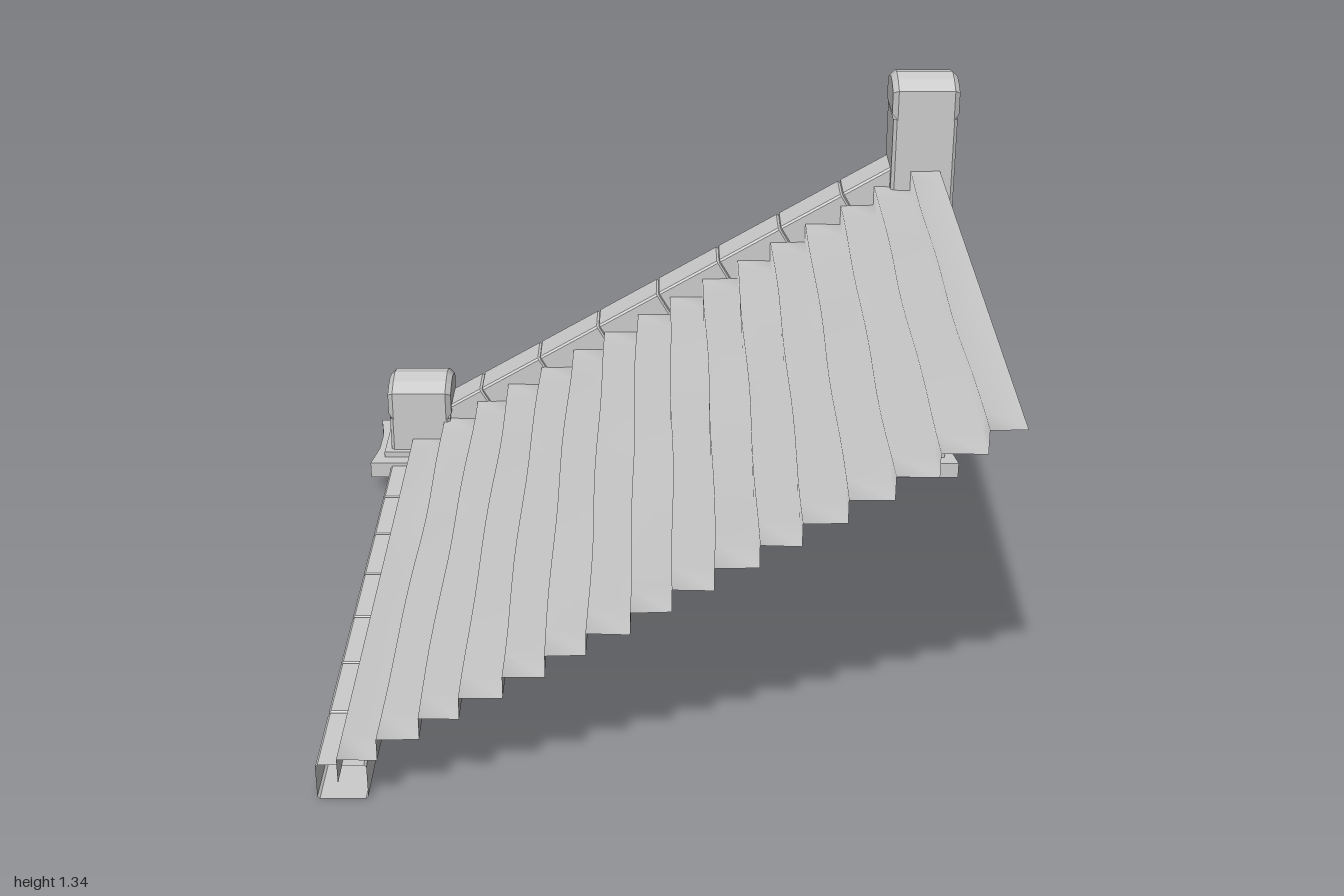
import * as THREE from 'three';

const material = new THREE.MeshStandardMaterial({ color: 0xcccccc, side: THREE.DoubleSide });

function add(parent, name, geometry, x = 0, y = 0, z = 0) {
  const mesh = new THREE.Mesh(geometry, material);
  mesh.name = name;
  mesh.position.set(x, y, z);
  parent.add(mesh);
  return mesh;
}

// Surface through rows of [x, y, z] points
function skin(rows, smooth) {
  const n = rows[0].length, index = [];
  for (let i = 0; i < rows.length - 1; i++) {
    for (let j = 0; j < n - 1; j++) {
      const a = i * n + j, d = a + n;
      index.push(a, a + 1, d + 1, a, d + 1, d);
    }
  }
  let g = new THREE.BufferGeometry();
  g.setAttribute('position', new THREE.Float32BufferAttribute(rows.flat(2), 3));
  g.setIndex(index);
  if (!smooth) g = g.toNonIndexed();
  g.computeVertexNormals();
  return g;
}

// Open-ended row of chamfered stones along x, with a groove at each inner cut
function stoneRow(cuts, height, depth, bevel = 0.006) {
  const ring = (x, inset) => {
    const h = height / 2 - inset, d = depth / 2 - inset, b = bevel;
    const pts = [[h, -d + b], [h, d - b], [h - b, d], [-h + b, d],
      [-h, d - b], [-h, -d + b], [-h + b, -d], [h - b, -d], [h, -d + b]];
    return pts.map(([y, z]) => [x, y, z]);
  };
  const rows = [];
  cuts.forEach((x, i) => {
    if (i === 0 || i === cuts.length - 1) rows.push(ring(x, 0));
    else rows.push(ring(x - 0.005, 0), ring(x, 0.005), ring(x + 0.005, 0));
  });
  return skin(rows, false);
}

const evenCuts = (from, to, n) =>
  Array.from({ length: n + 1 }, (_, i) => from + (to - from) * i / n);

// Post cap arched across z, with bevelled ends
function capGeometry() {
  const b = 0.016, s = new THREE.Shape();
  s.moveTo(-0.082, b);
  s.lineTo(0.082, b);
  s.lineTo(0.082, 0.08);
  s.lineTo(0.045, 0.097);
  s.lineTo(0, 0.106);
  s.lineTo(-0.045, 0.097);
  s.lineTo(-0.082, 0.08);
  s.closePath();
  const g = new THREE.ExtrudeGeometry(s, {
    depth: 0.166, bevelEnabled: true, bevelSize: b, bevelThickness: b, bevelSegments: 1,
  });
  g.translate(0, 0, -0.083);
  g.rotateY(Math.PI / 2);
  return g;
}

// Foot slab with pinched sides
function footGeometry() {
  const s = new THREE.Shape([
    [-0.155, -0.155], [0.155, -0.155], [0.138, -0.05], [0.138, 0.05],
    [0.155, 0.155], [-0.155, 0.155], [-0.138, 0.05], [-0.138, -0.05],
  ].map(([x, y]) => new THREE.Vector2(x, y)));
  const g = new THREE.ExtrudeGeometry(s, { depth: 0.05, bevelEnabled: false });
  g.rotateX(-Math.PI / 2);
  return g;
}

function makePost(name, x, cuts) {
  const post = new THREE.Group();
  post.name = name;
  post.position.set(x, 0, -0.845);
  add(post, 'postFoot', footGeometry(), 0, 0.065);
  add(post, 'postPlinth', new THREE.BoxGeometry(0.23, 0.018, 0.225), 0, 0.123);
  const shaft = add(post, 'postShaft', stoneRow(cuts, 0.19, 0.19, 0.01));
  shaft.rotation.z = Math.PI / 2;
  add(post, 'postCap', capGeometry(), 0, cuts[cuts.length - 1] - 0.002);
  return post;
}

// Thin stepped sheet with slightly worn, wavy edges
function stairGeometry() {
  const profile = [[-0.8, 0.1]];
  for (let k = 0; k < 16; k++) {
    const x = -0.8 + 0.102 * k, y = 0.17 + 0.0597 * k;
    profile.push([x, y], [Math.min(x + 0.102, 0.82), y]);
  }
  const rows = profile.map(([x, y], i) => evenCuts(-0.79, 1, 16).map((z) => {
    const k = Math.floor(i / 2);
    const wear = Math.sin(z * 5 + k * 2.3) * Math.sin(z * 2.1 + k * 1.7);
    const inner = i > 1 && i < 32 ? 1 : 0;
    return [x + 0.005 * wear * inner, y - 0.004 * Math.abs(wear) * inner, z];
  }));
  return skin(rows, true);
}

export function createModel() {
  const model = new THREE.Group();
  model.name = 'staircase';

  add(model, 'steps', stairGeometry());

  // Base stones along the wall and below the first step
  add(model, 'wallBaseStones', stoneRow(evenCuts(-0.855, 0.795, 7), 0.1, 0.127), 0, 0.066, -0.843);
  const front = add(model, 'firstStepStones', stoneRow(evenCuts(-0.72, 0.93, 7), 0.1, 0.127), -0.803, 0.055, 0);
  front.rotation.y = -Math.PI / 2;

  // Triangular side wall
  const wall = new THREE.Shape();
  wall.moveTo(-0.78, 0.1);
  wall.lineTo(0.77, 0.1);
  wall.lineTo(0.77, 1.04);
  wall.lineTo(-0.78, 0.13);
  wall.closePath();
  add(model, 'sideWall', new THREE.ExtrudeGeometry(wall, { depth: 0.08, bevelEnabled: false }), 0, 0, -0.885);

  // Sloping rail between the posts
  const slope = Math.atan2(0.795, 1.36);
  const rail = add(model, 'slopingRail', stoneRow(evenCuts(-0.86, 0.86, 8), 0.097, 0.13), 0, 0.614, -0.845);
  rail.rotation.z = slope;

  model.add(makePost('tallPost', 0.77, [0.125, 0.605, 1.225]));
  model.add(makePost('shortPost', -0.775, [0.125, 0.24]));
  return model;
}
